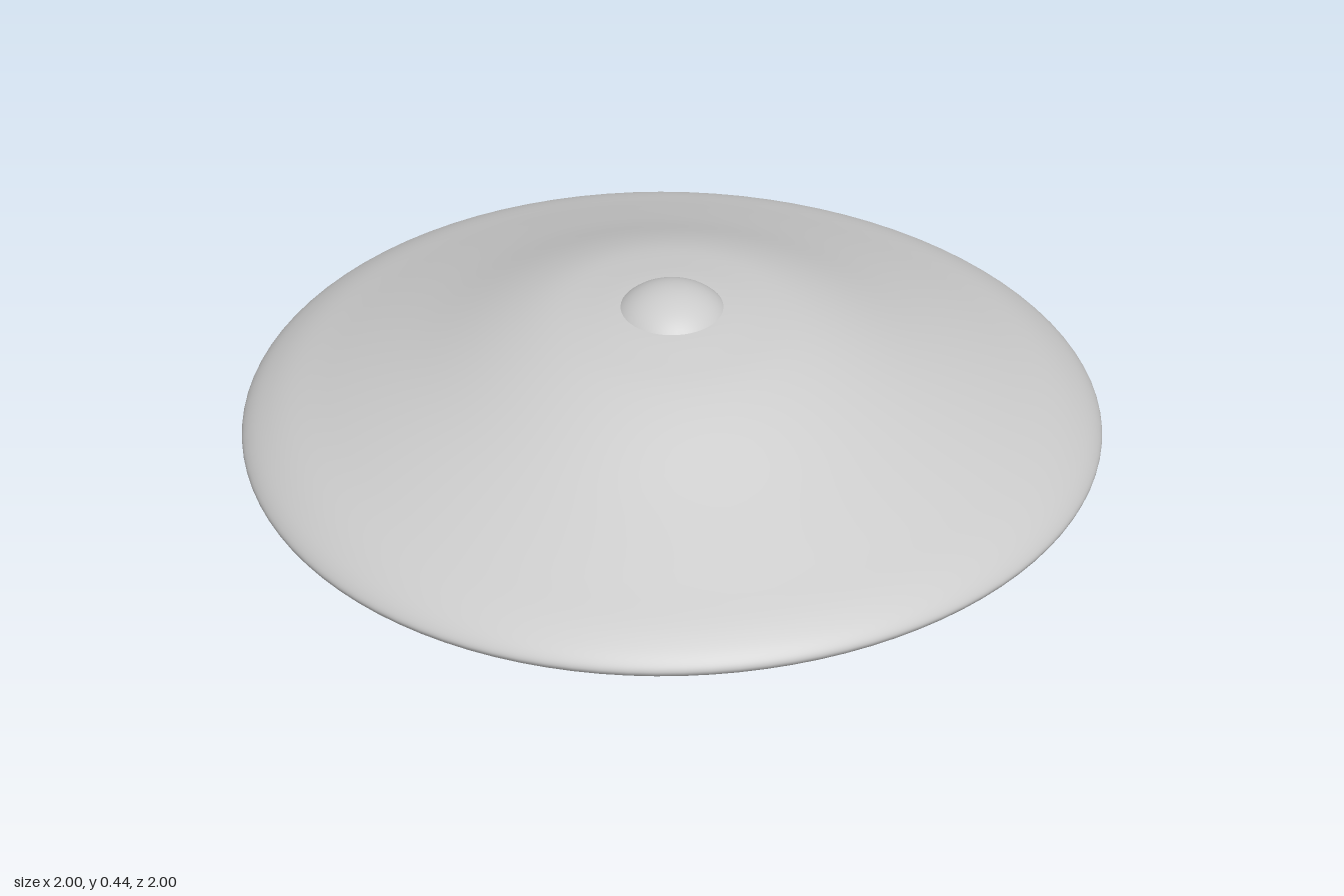
import * as THREE from 'three';

const material = new THREE.MeshStandardMaterial({ color: 0xcccccc });

// Smooth closed section: underside from the axis to the rim, then back up the top
function canopyGeometry() {
  const section = [
    [0, 0.262], [0.12, 0.255], [0.25, 0.234], [0.4, 0.193], [0.6, 0.128],
    [0.8, 0.066], [0.92, 0.026], [0.962, 0.012], [0.99, 0.018], [1, 0.034],
    [0.985, 0.058], [0.925, 0.099], [0.8, 0.152], [0.6, 0.237], [0.4, 0.329],
    [0.3, 0.363], [0.2, 0.381], [0.12, 0.391], [0, 0.396],
  ].map(([r, y]) => new THREE.Vector3(r, y, 0));
  const curve = new THREE.CatmullRomCurve3(section, false, 'centripetal');
  const profile = curve.getPoints(108).map((p) => new THREE.Vector2(Math.max(p.x, 0), p.y));
  const geometry = new THREE.LatheGeometry(profile, 96);

  // Gentle sag: the rim droops at the sides and lifts at front and back
  const pos = geometry.attributes.position;
  for (let i = 0; i < pos.count; i++) {
    const x = pos.getX(i), z = pos.getZ(i);
    pos.setY(i, pos.getY(i) - 0.009 * (x * x - z * z));
  }
  geometry.computeBoundingBox();
  geometry.translate(0, -geometry.boundingBox.min.y, 0);
  return geometry;
}

export function createModel() {
  const model = new THREE.Group();

  // Wide shallow cone with a rounded rim and hollow underside
  const canopy = new THREE.Mesh(canopyGeometry(), material);
  canopy.name = 'canopy';
  model.add(canopy);

  // Flattened ball set through the peak
  const knob = new THREE.Mesh(new THREE.SphereGeometry(1, 48, 32), material);
  knob.name = 'topKnob';
  knob.scale.set(0.147, 0.1125, 0.147);
  knob.position.y = 0.3225;
  model.add(knob);

  return model;
}
